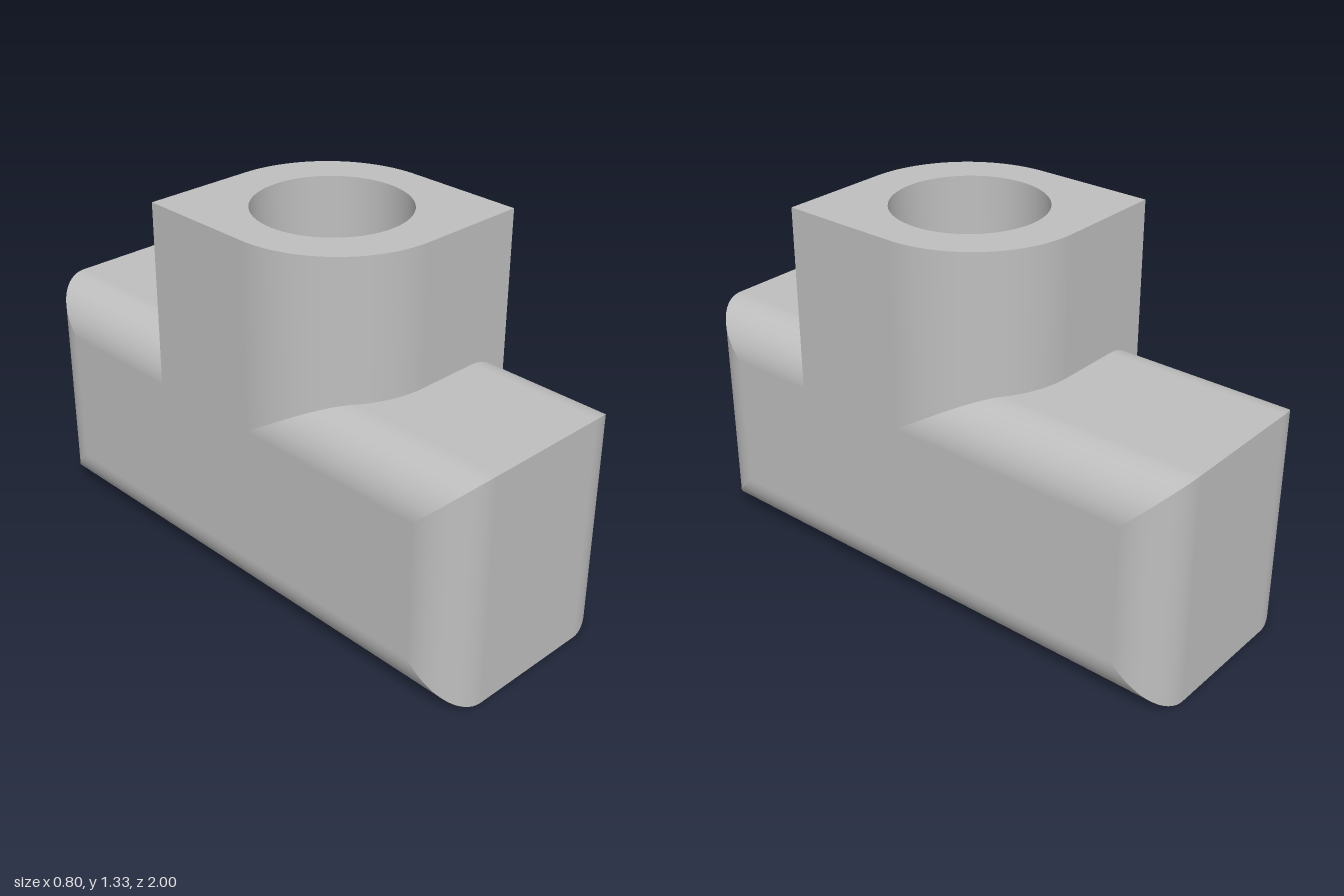
import * as THREE from 'three';
import { toCreasedNormals } from 'three/addons/utils/BufferGeometryUtils.js';

const W = 0.4, H = 0.8333, TOP = 1.3333, R = 0.1667; // half width, block height, boss top, fillet radius
const HOLE = 0.2667, CZ = 0.0833; // bore radius and its z centre

// Fillet: sine of the slope, and the inset it gives, at a given x
const slope = x => Math.min(1, Math.max(0, (Math.abs(x) - (W - R)) / R));
const inset = x => R - R * Math.sqrt(1 - slope(x) ** 2);
const halfBore = x => Math.sqrt(Math.max(0, HOLE * HOLE - x * x));

// Stations across the width: bore angles plus fillet angles
function stations() {
  const xs = [];
  for (let i = 0; i <= 32; i++) xs.push(-HOLE * Math.cos(i * Math.PI / 32));
  for (let i = 0; i <= 20; i++) {
    const x = W - R + R * Math.sin(i * Math.PI / 40);
    xs.push(x, -x);
  }
  return xs.sort((a, b) => a - b);
}

// Surface between two curves that run across the width, facing along normal(x)
function strip(xs, curveA, curveB, normal) {
  const pos = [], nor = [], index = [];
  xs.forEach((x, i) => {
    const n = normal(x);
    pos.push(...curveA(x), ...curveB(x));
    nor.push(...n, ...n);
    if (i > 0) {
      const k = 2 * i;
      index.push(k - 2, k, k - 1, k, k + 1, k - 1);
    }
  });
  const g = new THREE.BufferGeometry();
  g.setAttribute('position', new THREE.Float32BufferAttribute(pos, 3));
  g.setAttribute('normal', new THREE.Float32BufferAttribute(nor, 3));
  g.setIndex(index);
  return g;
}

export function createModel() {
  const model = new THREE.Group();
  const grey = new THREE.MeshStandardMaterial({ color: 0xbfbfbf });
  grey.name = 'grey';
  const add = (geometry, name, parent = model) => {
    const m = new THREE.Mesh(geometry, grey);
    m.name = name;
    parent.add(m);
    return m;
  };

  // Block: rounded towards its long sides, pierced by the bore
  const block = new THREE.Group();
  block.name = 'block';
  model.add(block);
  const xs = stations();
  const tilt = x => Math.sign(x) * slope(x);
  const flat = x => Math.sqrt(1 - slope(x) ** 2);
  const endZ = x => 1 - inset(x);
  for (const up of [1, -1]) {
    const y = x => up > 0 ? H - inset(x) : inset(x);
    const normal = x => [tilt(x), up * flat(x), 0];
    const edges = [
      [x => [x, y(x), endZ(x)], x => [x, y(x), CZ + halfBore(x)], 'Front'],
      [x => [x, y(x), CZ - halfBore(x)], x => [x, y(x), -endZ(x)], 'Back'],
    ];
    for (const [a, b, end] of edges) {
      add(strip(xs, up > 0 ? a : b, up > 0 ? b : a, normal), (up > 0 ? 'top' : 'bottom') + end, block);
    }
  }
  // End faces
  for (const s of [1, -1]) {
    const low = x => [x, inset(x), s * endZ(x)];
    const high = x => [x, H - inset(x), s * endZ(x)];
    add(strip(xs, s > 0 ? low : high, s > 0 ? high : low, x => [tilt(x), 0, s * flat(x)]),
      s > 0 ? 'frontEnd' : 'backEnd', block);
  }
  // Flat long sides
  for (const s of [1, -1]) {
    const side = add(new THREE.PlaneGeometry(2 * (1 - R), H - 2 * R), s > 0 ? 'leftSide' : 'rightSide', block);
    side.rotation.y = s * Math.PI / 2;
    side.position.set(s * W, H / 2, 0);
  }

  // Boss: two opposite corners rounded, two sharp
  const outline = new THREE.Shape();
  outline.moveTo(0, -0.5);
  outline.lineTo(W, -0.5);
  outline.lineTo(W, -0.0667);
  outline.absarc(0, -0.0667, W, 0, Math.PI / 2, false);
  outline.lineTo(-W, 0.3333);
  outline.lineTo(-W, -0.1);
  outline.absarc(0, -0.1, W, Math.PI, Math.PI * 1.5, false);
  const hole = new THREE.Path();
  hole.absarc(0, -CZ, HOLE, 0, Math.PI * 2, true);
  outline.holes.push(hole);
  const base = H - R;
  const bossGeo = new THREE.ExtrudeGeometry(outline, { depth: TOP - base, bevelEnabled: false, curveSegments: 32 });
  bossGeo.rotateX(-Math.PI / 2).translate(0, base, 0);
  add(toCreasedNormals(bossGeo, 0.5), 'boss');

  // Bore wall inside the block, its lower rim following the rounded underside
  const bore = new THREE.CylinderGeometry(HOLE, HOLE, base, 64, 1, true);
  bore.translate(0, base / 2, CZ);
  const p = bore.attributes.position;
  for (let i = 0; i < p.count; i++) if (p.getY(i) < 0.01) p.setY(i, inset(p.getX(i)));
  // Turn the wall to face inwards
  bore.index.array.reverse();
  const n = bore.attributes.normal;
  for (let i = 0; i < n.count; i++) n.setXYZ(i, -n.getX(i), 0, -n.getZ(i));
  add(bore, 'bore');

  return model;
}
